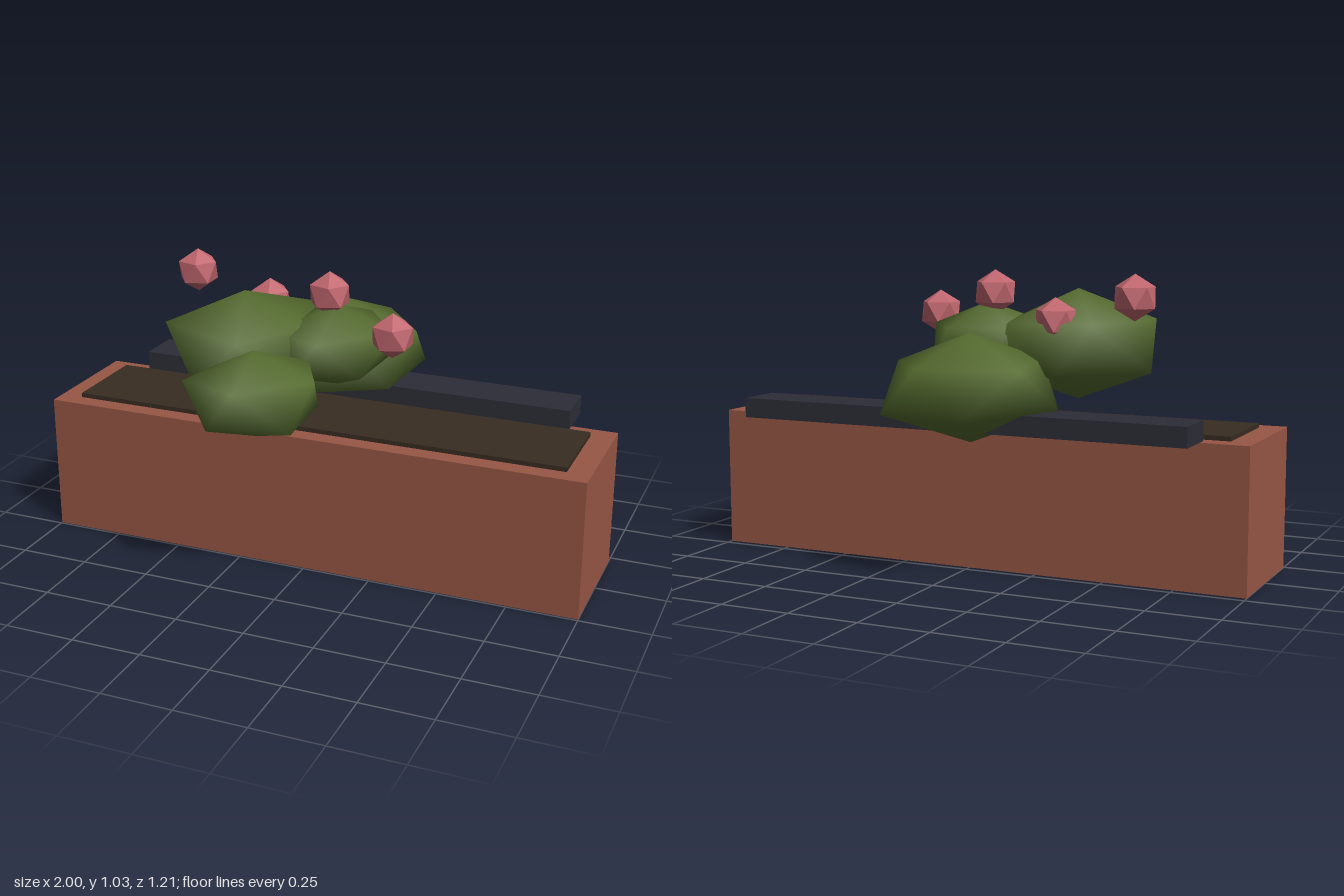
import * as THREE from 'three';

const material = (name, color, extra = {}) => {
  const m = new THREE.MeshStandardMaterial({ color, ...extra });
  m.name = name;
  return m;
};

// Twenty-sided lump: two poles and a zigzag ring of ten [x, z] points,
// alternately on the upper and the lower level.
function lumpGeometry(x, y, z, ry, ring) {
  const points = [x, y + ry, z, x, y - ry, z];
  ring.forEach(([px, pz], i) => points.push(px, y + (i % 2 ? -1 : 1) * 0.447 * ry, pz));
  const index = [];
  for (let i = 0; i < 10; i++) {
    const a = 2 + i, b = 2 + (i + 1) % 10, c = 2 + (i + 2) % 10;
    if (i % 2 === 0) index.push(0, a, c, a, b, c);
    else index.push(1, c, a, a, c, b);
  }
  const g = new THREE.BufferGeometry();
  g.setAttribute('position', new THREE.Float32BufferAttribute(points, 3));
  g.setIndex(index);
  g.computeVertexNormals();
  return g;
}

export function createModel() {
  const group = new THREE.Group();
  const terracotta = material('terracotta', 0x985746);
  const earth = material('earth', 0x382c22);
  const iron = material('dark iron', 0x2d2d37);
  const leaf = material('leaf green', 0x556b2f);
  const petal = material('petal pink', 0xc0666e, { flatShading: true });

  const add = (name, geometry, mat) => {
    const mesh = new THREE.Mesh(geometry, mat);
    mesh.name = name;
    group.add(mesh);
    return mesh;
  };
  const box = (name, mat, [x0, x1], [y0, y1], [z0, z1]) =>
    add(name, new THREE.BoxGeometry(x1 - x0, y1 - y0, z1 - z0), mat)
      .position.set((x0 + x1) / 2, (y0 + y1) / 2, (z0 + z1) / 2);

  // Planter, soil and the rail behind it
  box('planterBox', terracotta, [-1, 1], [0, 0.5], [-0.222, 0.243]);
  box('soil', earth, [-0.917, 0.917], [0.48, 0.516], [-0.155, 0.18]);
  box('backRail', iron, [-0.833, 0.833], [0.5, 0.57], [-0.355, -0.187]);

  // Irregular leafy clumps
  add('frontBush', lumpGeometry(-0.11, 0.702, 0.39, 0.153, [
    [-0.31, 0.53], [-0.19, 0.605], [-0.1, 0.6], [0.08, 0.53], [0.105, 0.385],
    [0.06, 0.25], [0, 0.19], [-0.12, 0.17], [-0.24, 0.2], [-0.325, 0.28]]), leaf);
  add('leftBush', lumpGeometry(-0.27, 0.772, 0.115, 0.197, [
    [-0.185, 0.385], [-0.03, 0.2], [-0.04, 0.08], [-0.04, -0.06], [-0.13, -0.19],
    [-0.3, -0.19], [-0.43, -0.15], [-0.565, 0.06], [-0.52, 0.24], [-0.35, 0.365]]), leaf);
  add('middleBush', lumpGeometry(0.03, 0.773, 0, 0.148, [
    [0.24, 0], [0.18, -0.14], [0.08, -0.22], [-0.02, -0.21], [-0.14, -0.15],
    [-0.19, 0], [-0.16, 0.13], [-0.06, 0.22], [0.04, 0.235], [0.17, 0.14]]), leaf);
  add('backBush', lumpGeometry(-0.06, 0.652, -0.33, 0.187, [
    [0.02, -0.585], [-0.155, -0.605], [-0.325, -0.51], [-0.325, -0.19], [-0.22, -0.09],
    [-0.08, -0.02], [0.05, -0.08], [0.17, -0.16], [0.205, -0.35], [0.185, -0.52]]), leaf);

  // Faceted blossoms
  const r = 0.08;
  const ring = Array.from({ length: 10 }, (_, i) => {
    const a = Math.PI / 2 + i * Math.PI / 5;
    return [0.894 * r * Math.sin(a), 0.894 * r * Math.cos(a)];
  });
  const blossom = lumpGeometry(0, 0, 0, r, ring);
  [[-0.56, 0.955, -0.1], [-0.278, 0.87, -0.115], [0, 0.955, -0.005], [0.278, 0.87, 0.113]]
    .forEach(([x, y, z], i) => add(`blossom${i + 1}`, blossom, petal).position.set(x, y, z));

  return group;
}
